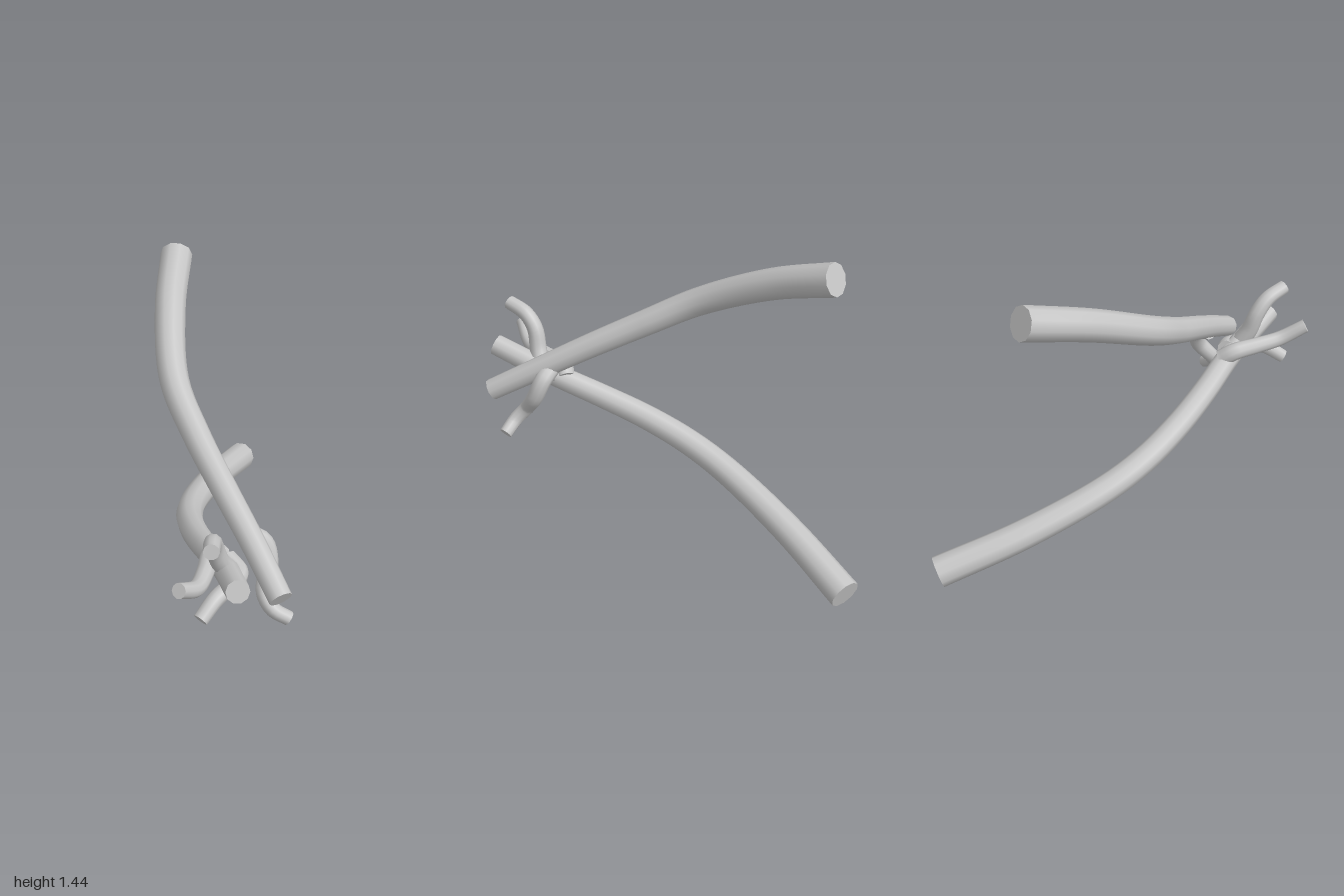
import * as THREE from 'three';
import { mergeGeometries } from 'three/addons/utils/BufferGeometryUtils.js';

const SIDES = 10;

// Tapered tube through the points, closed by a flat cap at each end
function limb(points, r0, r1, steps) {
  const curve = new THREE.CatmullRomCurve3(points.map(p => new THREE.Vector3(...p)));
  const tube = new THREE.TubeGeometry(curve, steps, 1, SIDES);
  const pos = tube.attributes.position, nor = tube.attributes.normal;
  const v = new THREE.Vector3(), n = new THREE.Vector3();
  for (let i = 0; i <= steps; i++) {
    const centre = curve.getPointAt(i / steps);
    const r = THREE.MathUtils.lerp(r0, r1, i / steps);
    for (let j = 0; j <= SIDES; j++) {
      const k = i * (SIDES + 1) + j;
      n.fromBufferAttribute(nor, k);
      v.copy(centre).addScaledVector(n, r);
      pos.setXYZ(k, v.x, v.y, v.z);
    }
  }
  const cap = (ring, reversed) => {
    const disc = new THREE.CircleGeometry(1, SIDES);
    const c = curve.getPointAt(ring / steps);
    disc.attributes.position.setXYZ(0, c.x, c.y, c.z);
    for (let j = 0; j <= SIDES; j++) {
      v.fromBufferAttribute(pos, ring * (SIDES + 1) + (reversed ? SIDES - j : j));
      disc.attributes.position.setXYZ(j + 1, v.x, v.y, v.z);
    }
    disc.computeVertexNormals();
    return disc;
  };
  return mergeGeometries([tube, cap(0, false), cap(steps, true)]);
}

export function createModel() {
  const model = new THREE.Group();
  model.name = 'branches';
  const bark = new THREE.MeshStandardMaterial({ name: 'pale grey bark', color: 0xc6c6c6 });
  const add = (name, points, r0, r1, steps) => {
    const mesh = new THREE.Mesh(limb(points, r0, r1, steps), bark);
    mesh.name = name;
    model.add(mesh);
  };

  // Two long branches, thick at the back and thinner at the front
  add('upperBranch', [
    [-0.3, 1.385, -0.65], [-0.285, 1.27, -0.34], [-0.22, 1.1, 0], [-0.1, 0.97, 0.21],
    [0.04, 0.845, 0.41], [0.18, 0.72, 0.6], [0.315, 0.59, 0.795],
  ], 0.073, 0.05, 40);
  add('lowerBranch', [
    [-0.03, 0.077, -0.975], [-0.125, 0.19, -0.6], [-0.175, 0.31, -0.22], [-0.165, 0.385, 0],
    [-0.115, 0.46, 0.21], [-0.035, 0.535, 0.42], [0.06, 0.615, 0.63], [0.155, 0.715, 0.92],
  ], 0.072, 0.05, 40);

  // Crooked twig hanging from the upper branch
  add('hangingTwig', [
    [0.14, 0.73, 0.56], [0.22, 0.69, 0.55], [0.25, 0.6, 0.58],
    [0.235, 0.51, 0.65], [0.275, 0.45, 0.69], [0.345, 0.405, 0.69],
  ], 0.042, 0.031, 24);

  // Three twigs at the tip of the lower branch
  add('sideTwig', [
    [0.05, 0.62, 0.57], [0.015, 0.66, 0.62], [0.005, 0.66, 0.74],
    [-0.015, 0.67, 0.86], [-0.07, 0.735, 0.965],
  ], 0.042, 0.032, 20);
  add('risingTwig', [
    [0.085, 0.65, 0.7], [0.06, 0.72, 0.735], [0.045, 0.81, 0.765],
    [0.045, 0.87, 0.82], [0.052, 0.9, 0.92],
  ], 0.042, 0.033, 20);
  add('droopingTwig', [
    [0.08, 0.64, 0.62], [0.135, 0.62, 0.68], [0.115, 0.62, 0.76],
    [0.06, 0.6, 0.83], [0.005, 0.545, 0.905],
  ], 0.042, 0.032, 20);

  return model;
}
